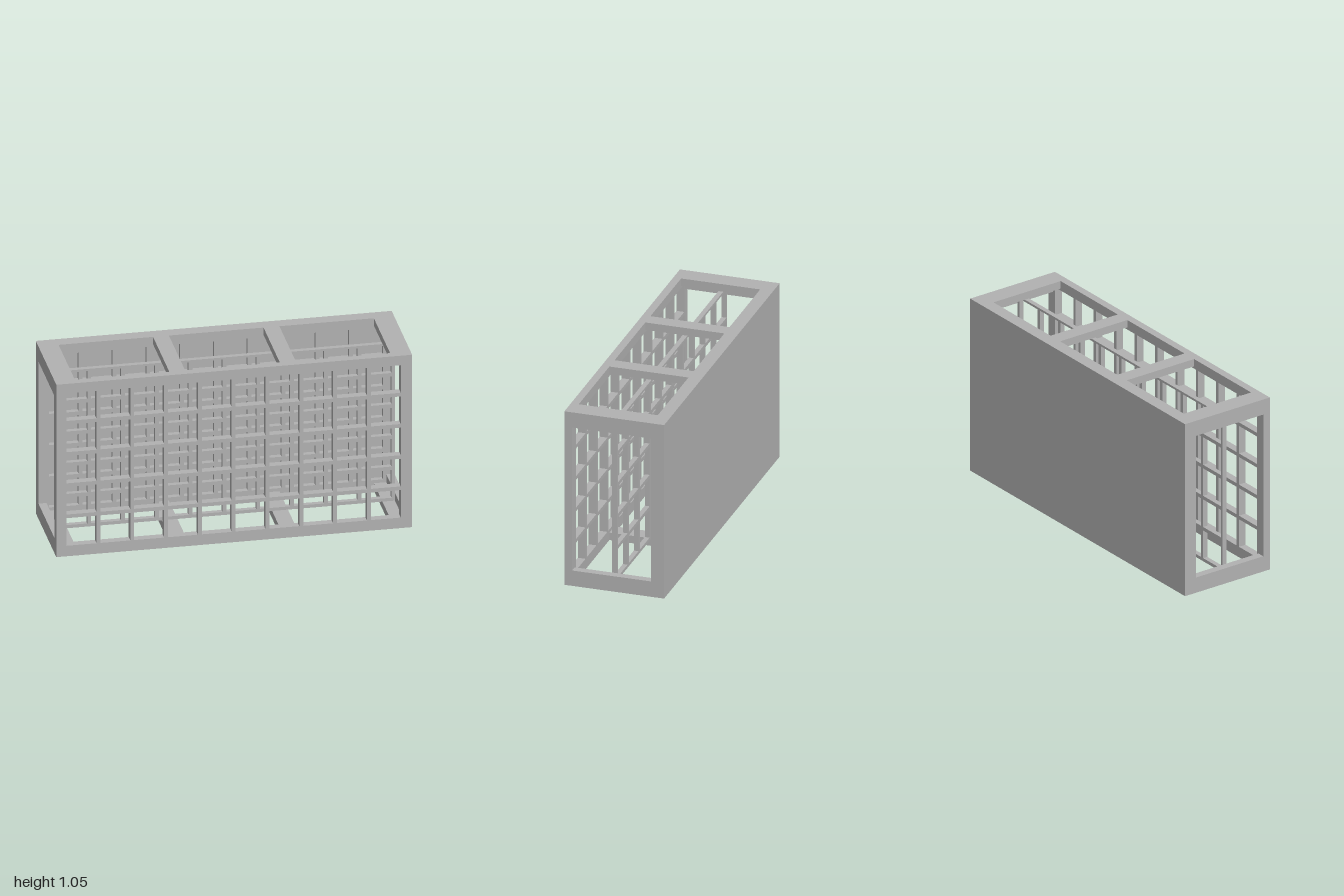
import * as THREE from 'three';

const H = 1.05, T = 0.045;               // overall height, wall thickness
const FRONT = 0.29, BACK = -0.29, INNER_BACK = -0.215;

export function createModel() {
  const group = new THREE.Group();
  const grey = new THREE.MeshStandardMaterial({ color: 0xb2b2b2 });
  grey.name = 'plain grey';

  const add = (name, geometry) => {
    const mesh = new THREE.Mesh(geometry, grey);
    mesh.name = name;
    group.add(mesh);
  };
  // Box given by its limits on each axis
  const block = (name, x0, x1, y0, y1, z0, z1) => {
    const g = new THREE.BoxGeometry(x1 - x0, y1 - y0, z1 - z0);
    g.translate((x0 + x1) / 2, (y0 + y1) / 2, (z0 + z1) / 2);
    add(name, g);
  };
  // Rectangular slab pierced by 10 x 5 square openings
  const lattice = (name, inset, z0, z1) => {
    const x = 1 - inset, y0 = inset, y1 = H - inset;
    const s = new THREE.Shape([[-x, y0], [x, y0], [x, y1], [-x, y1]].map(p => new THREE.Vector2(...p)));
    for (let i = 0; i < 10; i++) {
      for (let j = 0; j < 5; j++) {
        const a = -0.942 + i * 0.19, b = 0.064 + j * 0.19, w = 0.168;
        s.holes.push(new THREE.Path([[a, b], [a, b + w], [a + w, b + w], [a + w, b]].map(p => new THREE.Vector2(...p))));
      }
    }
    const g = new THREE.ExtrudeGeometry(s, { depth: z1 - z0, bevelEnabled: false });
    g.translate(0, 0, z0);
    add(name, g);
  };

  // Front lattice, middle divider and lattice lining the solid back
  lattice('frontLattice', 0, FRONT - T, FRONT);
  lattice('middleLattice', T, 0, 0.028);
  lattice('backLattice', 0, BACK + T, INNER_BACK);
  block('backWall', -1, 1, 0, H, BACK, BACK + T);

  // Cross bars leave three openings in the top and the bottom
  for (const [name, y] of [['bottomBar', 0], ['topBar', H - T]]) {
    for (const [x0, x1] of [[-1, -0.887], [-0.356, -0.267], [0.265, 0.354], [0.885, 1]]) {
      block(name, x0, x1, y, y + T, INNER_BACK, FRONT - T);
    }
  }

  // Rails above and below the single opening at each end
  for (const x of [-1, 1 - T]) {
    block('lowerEndRail', x, x + T, T, 0.093, INNER_BACK, FRONT - T);
    block('upperEndRail', x, x + T, 0.958, H - T, INNER_BACK, FRONT - T);
  }
  return group;
}
